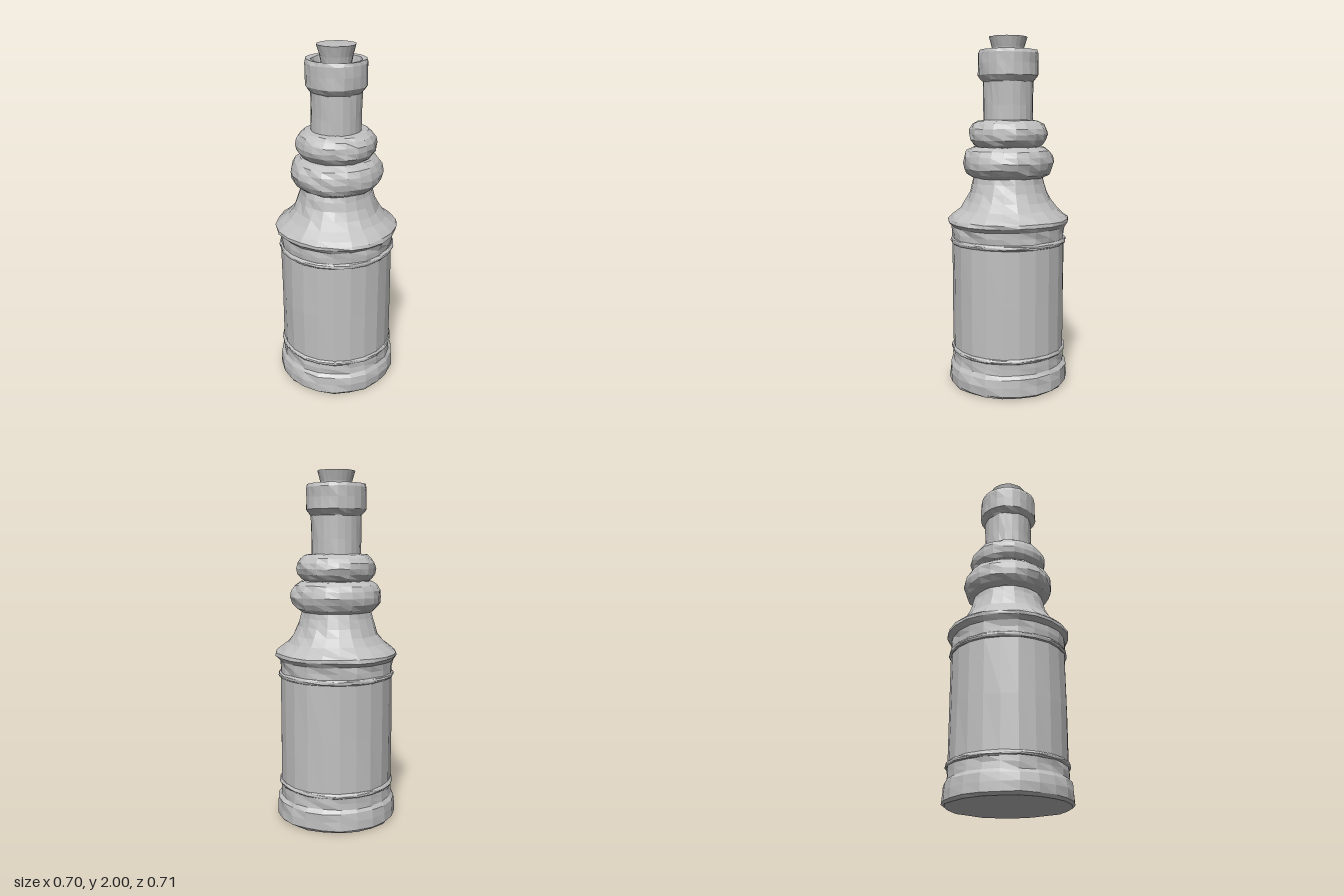
import * as THREE from 'three';

const SIDES = 22;

// Repeatable value in -1..1 for a given column, row and seed
function wobble(a, b, seed) {
  const s = Math.sin(a * 12.99 + b * 78.23 + seed * 37.72) * 43758.55;
  return (s - Math.floor(s)) * 2 - 1;
}

// Faceted turned part with a slightly hand-carved surface; profile is [radius, y]
function turned(name, profile, material, rough, seed) {
  const geo = new THREE.LatheGeometry(profile.map(([r, y]) => new THREE.Vector2(r, y)), SIDES);
  const pos = geo.attributes.position;
  const rows = profile.length;
  for (let i = 0; i < pos.count; i++) {
    const row = i % rows;
    const col = Math.floor(i / rows) % SIDES;
    const r = profile[row][0];
    if (r === 0) continue;
    const k = 1 + (rough * wobble(col, row, seed)) / r;
    const inner = row > 0 && row < rows - 1;
    const dy = inner ? rough * 0.5 * wobble(row, col, seed + 5) : 0;
    pos.setXYZ(i, pos.getX(i) * k, pos.getY(i) + dy, pos.getZ(i) * k);
  }
  geo.computeVertexNormals();
  const mesh = new THREE.Mesh(geo, material);
  mesh.name = name;
  return mesh;
}

// Profile of a rounded bulge from y0 to y1
function bulge(rIn, rOut, y0, y1) {
  const pts = [];
  for (let i = 0; i <= 8; i++) {
    const t = (i / 8) * Math.PI;
    pts.push([rIn + (rOut - rIn) * Math.pow(Math.sin(t), 0.75),
      (y0 + y1) / 2 - ((y1 - y0) / 2) * Math.cos(t)]);
  }
  return pts;
}

export function createModel() {
  const group = new THREE.Group();
  group.name = 'bottle';
  const grey = new THREE.MeshStandardMaterial({ color: 0xc0c0c0, flatShading: true });
  grey.name = 'plain grey';
  const add = (name, profile, rough, seed) => group.add(turned(name, profile, grey, rough, seed));

  // Foot and the band above it
  add('foot', [[0, 0.005], [0.335, 0.005], [0.347, 0.02], [0.347, 0.07], [0.343, 0.115],
    [0.328, 0.135], [0.326, 0.17], [0.325, 0.21]], 0.005, 1);
  add('lowerRing', bulge(0.318, 0.336, 0.198, 0.228), 0.002, 2);

  // Straight body
  add('body', [[0.325, 0.21], [0.325, 0.52], [0.325, 0.85]], 0.003, 3);
  add('upperRing', bulge(0.318, 0.336, 0.835, 0.868), 0.002, 4);

  // Collar flaring into the sloping shoulder
  add('shoulder', [[0.322, 0.85], [0.325, 0.90], [0.328, 0.935], [0.35, 0.96], [0.35, 0.978],
    [0.325, 1.0], [0.28, 1.035], [0.245, 1.08], [0.222, 1.13], [0.208, 1.18], [0.198, 1.23]], 0.006, 5);

  // Two swollen rings
  add('lowerBulge', bulge(0.15, 0.262, 1.205, 1.392), 0.006, 6);
  add('upperBulge', bulge(0.13, 0.225, 1.375, 1.54), 0.006, 7);

  // Neck, lip and the recess inside the mouth
  add('neck', [[0.142, 1.5], [0.141, 1.62], [0.143, 1.76]], 0.003, 8);
  add('lip', [[0.138, 1.745], [0.152, 1.76], [0.17, 1.785], [0.171, 1.85], [0.172, 1.905],
    [0.164, 1.925], [0.138, 1.92], [0.128, 1.88], [0, 1.875]], 0.003, 9);

  // Tapered cork
  add('cork', [[0.078, 1.87], [0.09, 1.94], [0.107, 1.998], [0, 2.0]], 0.002, 10);
  return group;
}
